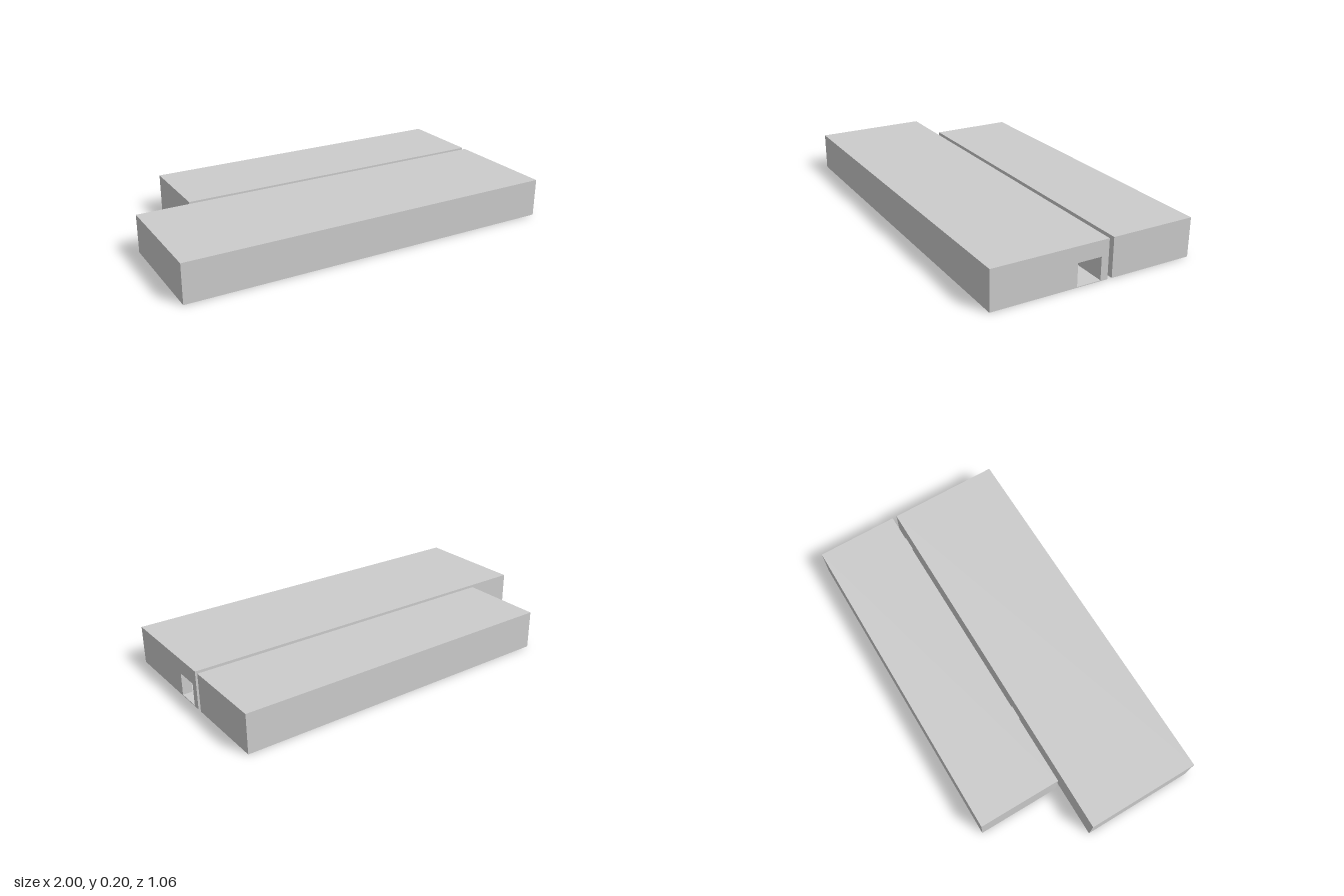
import * as THREE from 'three';

const material = new THREE.MeshStandardMaterial({ color: 0xcccccc, flatShading: true });

// Box given by its min and max corners
function addBox(group, name, [x0, y0, z0], [x1, y1, z1]) {
  const mesh = new THREE.Mesh(new THREE.BoxGeometry(x1 - x0, y1 - y0, z1 - z0), material);
  mesh.position.set((x0 + x1) / 2, (y0 + y1) / 2, (z0 + z1) / 2);
  mesh.name = name;
  group.add(mesh);
}

export function createModel() {
  const model = new THREE.Group();
  model.name = 'twinHalls';
  const H = 0.2, wall = 0.05, floor = 0.004, roof = 0.18;
  const back = -0.068, front = 0.532;

  // Front hall: hollow shell
  const hall = new THREE.Group();
  hall.name = 'frontHall';
  addBox(hall, 'floor', [-1, 0, back], [1, floor, front]);
  addBox(hall, 'roof', [-1, roof, back], [1, H, front]);
  addBox(hall, 'frontWall', [-1, floor, front - wall], [1, roof, front]);
  addBox(hall, 'backWall', [-1, floor, back], [1, roof, -0.03]);
  addBox(hall, 'farEndWall', [-1, floor, -0.03], [-1 + wall, roof, front - wall]);

  // End wall with the doorway
  const doorFront = 0.095, doorTop = 0.12;
  addBox(hall, 'doorSideWall', [1 - wall, floor, doorFront], [1, roof, front - wall]);
  addBox(hall, 'doorLintel', [1 - wall, doorTop, -0.03], [1, roof, doorFront]);
  model.add(hall);

  // Shorter rear hall
  addBox(model, 'rearHall', [-0.72, 0, -0.532], [1, H, -0.092]);

  // Low passages joining the halls
  for (const x of [-0.283, 0.877])
    addBox(model, 'passage', [x - 0.038, 0, -0.092], [x + 0.038, 0.08, back]);

  return model;
}
